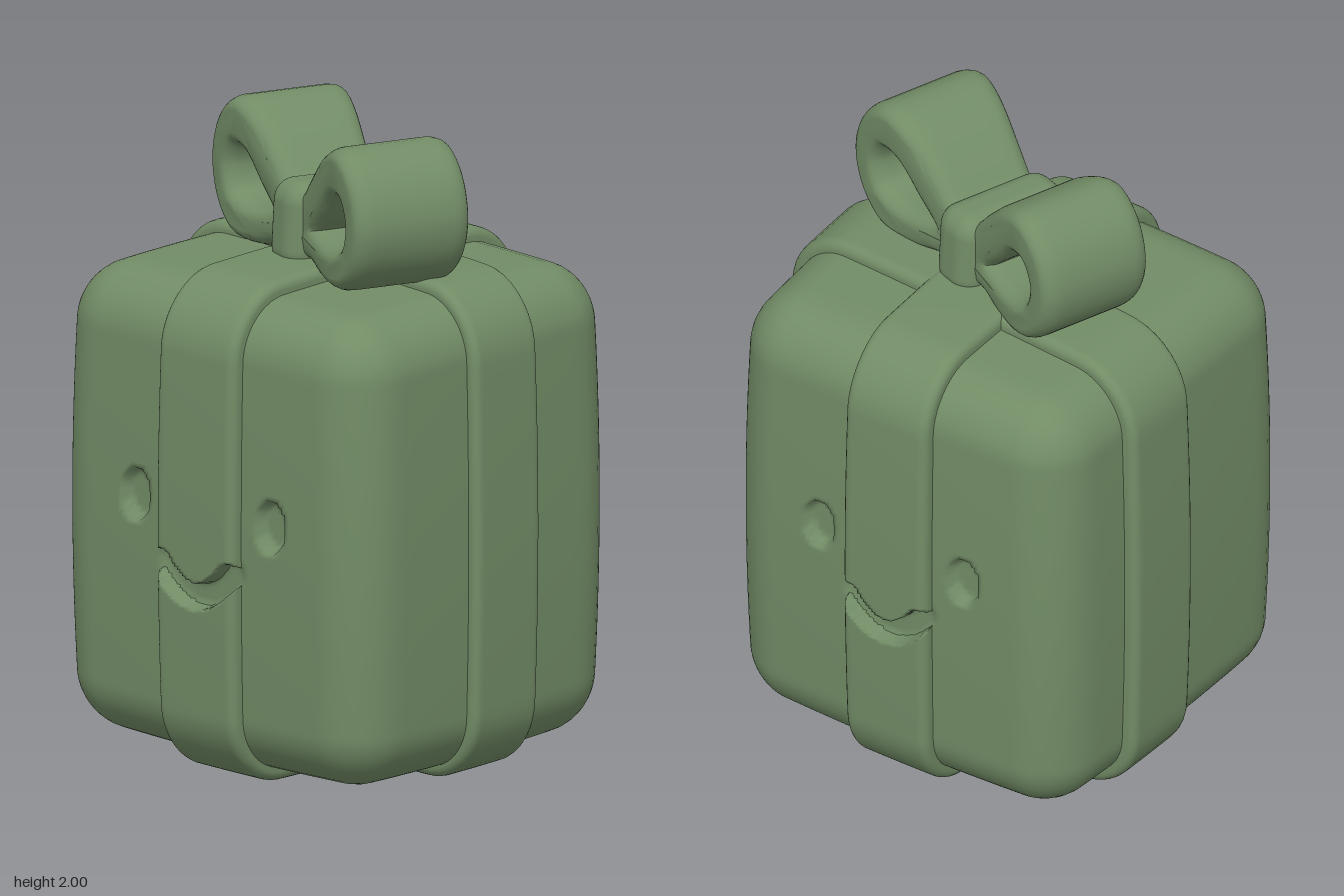
import * as THREE from 'three';
import { mergeVertices, toCreasedNormals } from 'three/addons/utils/BufferGeometryUtils.js';
import { RoundedBoxGeometry } from 'three/addons/geometries/RoundedBoxGeometry.js';

const HX = 0.61, HY = 0.748, HZ = 0.652, CY = 0.795, R = 0.18; // box half sizes, centre height, corner radius
const { clamp, smoothstep } = THREE.MathUtils;
const material = new THREE.MeshStandardMaterial({ color: 0x728c66 });

// Moves every vertex by a rule, then welds and smooths
function deform(geo, rule) {
  const pos = geo.attributes.position, p = new THREE.Vector3();
  for (let i = 0; i < pos.count; i++) {
    rule(p.fromBufferAttribute(pos, i));
    pos.setXYZ(i, p.x, p.y, p.z);
  }
  geo.deleteAttribute('normal');
  geo.deleteAttribute('uv');
  const welded = mergeVertices(geo, 1e-4);
  welded.computeVertexNormals();
  return welded;
}

// Hand-made irregularity shared by box and ribbons: pillowed faces, shear and taper
function wobble(p) {
  const u = (p.x / HX) ** 2, v = (p.y / HY) ** 2, w = (p.z / HZ) ** 2;
  const x = p.x * (1.008 - 0.03 * v - 0.025 * w) - 0.03 * p.z;
  const z = p.z * (1.008 - 0.03 * v - 0.02 * u) * (1 - (p.z < 0 ? 0.065 : 0.04) * p.x) - 0.006;
  p.set(x, p.y * (1 - 0.015 * u - 0.015 * w) + CY, z);
}

// 1 inside the smile groove, 0 outside
function mouth(z, y) {
  let nearest = 1;
  for (let i = -10; i <= 10; i++) {
    const s = i * 0.0137;
    nearest = Math.min(nearest, Math.hypot(z - s, y - 0.602 - 4.5 * s * s));
  }
  return 1 - smoothstep(nearest, 0.032, 0.042);
}

// 1 inside either eye, 0 outside
function eyes(z, y) {
  return 1 - smoothstep(Math.hypot((Math.abs(z) - 0.28) / 0.058, (y - 0.865) / 0.083), 0.82, 1.05);
}

// Rounded box with eyes and smile pressed into both faces
function boxGeometry() {
  const core = new THREE.Vector3(HX - R, HY - R, HZ - R), inner = new THREE.Vector3();
  return deform(new THREE.BoxGeometry(2 * HX, 2 * HY, 2 * HZ, 30, 96, 88), p => {
    const side = Math.abs(p.x) > HX - 1e-4 ? Math.sign(p.x) : 0;
    inner.copy(p).clamp(core.clone().negate(), core);
    p.sub(inner).setLength(R).add(inner);
    if (side) p.x -= side * (0.035 * eyes(p.z, p.y + CY) + 0.01 * mouth(p.z, p.y + CY));
    wobble(p);
  });
}

// Band swept around the box section; dip(z, y) lowers it on its two upright faces
function ribbonGeometry(half, halfWidth, thick, steps, dip) {
  const a = half - R, b = HY - R, round = 0.03;
  const outline = new THREE.Shape();
  outline.absarc(a, b, R, 0, Math.PI / 2).absarc(-a, b, R, Math.PI / 2, Math.PI);
  outline.absarc(-a, -b, R, Math.PI, Math.PI * 1.5).absarc(a, -b, R, Math.PI * 1.5, Math.PI * 2);
  outline.closePath();
  const path = outline.getSpacedPoints(steps);

  // Cross-section: [across, height], rounded shoulders and a flat middle
  const section = [[-halfWidth, -0.06]];
  for (let i = 0; i < 5; i++) {
    const t = i / 5 * Math.PI / 2;
    section.push([-halfWidth + round * (1 - Math.cos(t)), thick - round * (1 - Math.sin(t))]);
  }
  const left = section.slice();
  for (let i = 0; i <= 24; i++) section.push([(halfWidth - round) * (i / 12 - 1), thick]);
  for (const [w, h] of left.reverse()) section.push([-w, h]);

  const verts = [], index = [], m = section.length;
  path.forEach((q, i) => {
    const n = new THREE.Vector2(q.x - clamp(q.x, -a, a), q.y - clamp(q.y, -b, b)).normalize();
    section.forEach(([w, h], j) => {
      const drop = Math.abs(n.x) > 0.9 && dip ? dip(w, q.y + CY) : 0;
      const lift = h - drop * Math.max(0, h + 0.025);
      verts.push(q.x + n.x * lift, q.y + n.y * lift, w);
      if (i < path.length - 1 && j < m - 1) {
        const k = i * m + j;
        index.push(k, k + m, k + 1, k + 1, k + m, k + m + 1);
      }
    });
  });
  const geo = new THREE.BufferGeometry();
  geo.setAttribute('position', new THREE.Float32BufferAttribute(verts, 3));
  geo.setIndex(index);
  return geo;
}

// Puffy teardrop loop, reaching along +z and narrowing a little towards the knot
function loopGeometry(reach) {
  const curve = pts => new THREE.CatmullRomCurve3(pts.map(([x, y]) => new THREE.Vector3(x * reach, y, 0)), true)
    .getPoints(56).map(p => new THREE.Vector2(p.x, p.y));
  const shape = new THREE.Shape(curve([
    [0.02, 1.63], [0.13, 1.62], [0.25, 1.592], [0.38, 1.597], [0.465, 1.67],
    [0.495, 1.78], [0.455, 1.895], [0.365, 1.957], [0.265, 1.925], [0.15, 1.83], [0.08, 1.76], [0.02, 1.73]]));
  // the bevel swells the band on both sides, so the hole starts oversized
  shape.holes.push(new THREE.Path(curve([
    [0.1, 1.675], [0.19, 1.775], [0.3, 1.87], [0.4, 1.872], [0.452, 1.78], [0.415, 1.67], [0.28, 1.63]])));
  const geo = new THREE.ExtrudeGeometry(shape, {
    depth: 0.26, steps: 6, curveSegments: 1,
    bevelThickness: 0.06, bevelSize: 0.04, bevelSegments: 6 });
  geo.translate(0, 0, -0.13);
  geo.rotateY(-Math.PI / 2);
  const pos = geo.attributes.position;
  for (let i = 0; i < pos.count; i++) {
    pos.setX(i, pos.getX(i) * (0.84 + 0.18 * smoothstep(pos.getZ(i), 0.05, 0.4)));
  }
  return toCreasedNormals(geo, 1.0);
}

export function createModel() {
  const model = new THREE.Group();
  model.name = 'giftBox';
  const add = (name, geo, parent = model) => {
    const mesh = new THREE.Mesh(geo, material);
    mesh.name = name;
    parent.add(mesh);
    return mesh;
  };

  add('box', boxGeometry());

  // Ribbon crossing the two smiling faces, parted by the mouth
  add('faceRibbon', deform(ribbonGeometry(HX, 0.162, 0.044, 640, mouth), wobble));

  // Ribbon over front and back, running slightly askew
  const cross = ribbonGeometry(HZ, 0.152, 0.038, 160);
  cross.rotateY(Math.PI / 2);
  add('crossRibbon', deform(cross, p => {
    wobble(p);
    p.x += 0.08 - 0.075 * p.z;
  }));

  // Bow, turned on top of the box
  const bow = new THREE.Group();
  bow.name = 'bow';
  bow.position.set(-0.03, 0, 0.015);
  bow.rotation.y = -0.37;
  model.add(bow);
  add('frontBowLoop', loopGeometry(1), bow);
  add('backBowLoop', loopGeometry(0.95), bow).rotation.y = Math.PI;

  // Knot band, a little narrower at the top
  const knot = deform(new RoundedBoxGeometry(0.43, 0.28, 0.18, 6, 0.07), p => {
    p.x *= 0.95 - 0.25 * p.y;
    p.y += 1.675;
  });
  add('bowKnot', knot, bow);

  return model;
}
